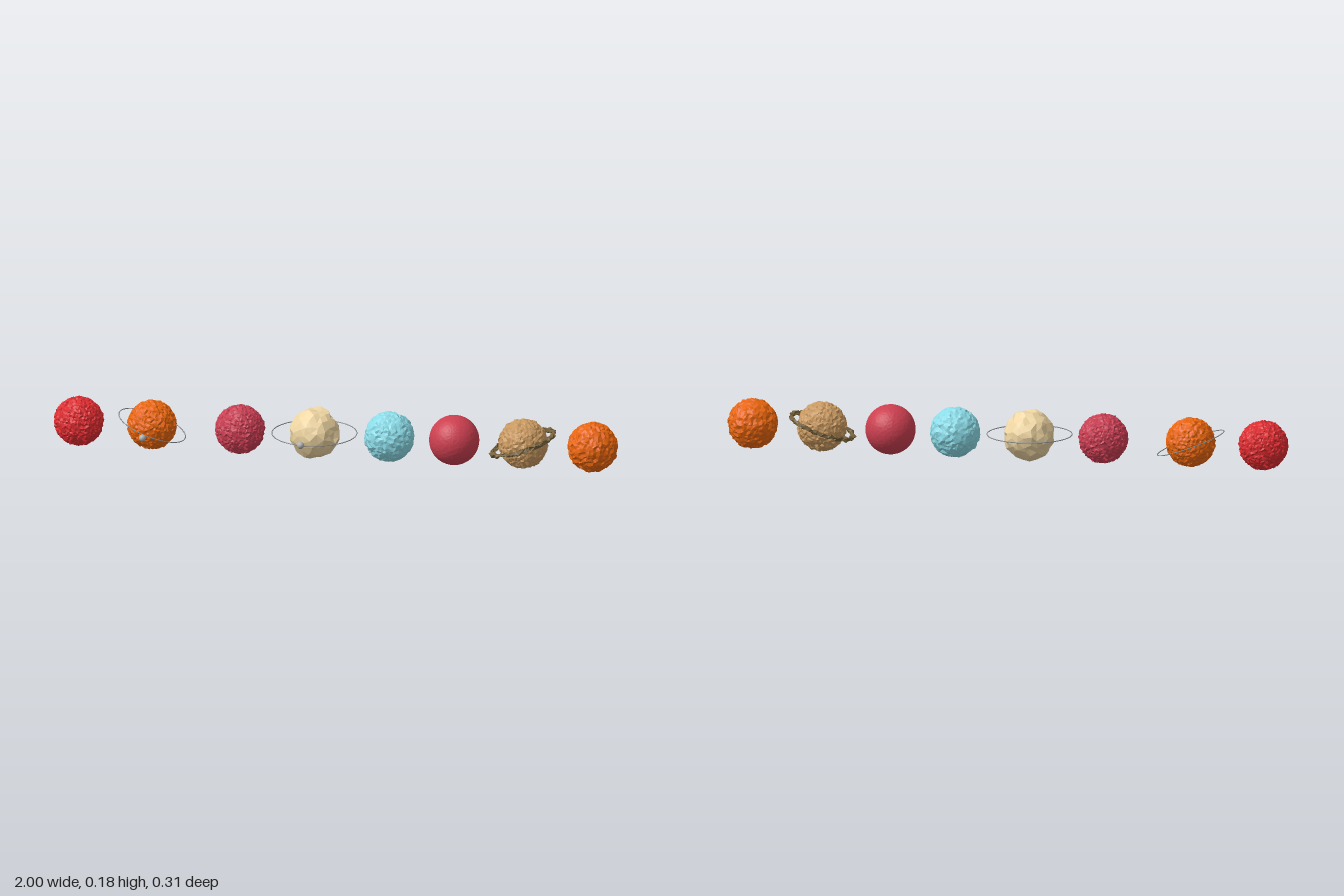
import * as THREE from 'three';

const CENTRE_Y = 0.094, CENTRE_Z = -0.012;

// Repeatable noise from a position, so shared corners move together.
function hash(x, y, z, k) {
  const q = (v) => Math.round(v * 1e4);
  const s = Math.sin(q(x) * 12.9898 + q(y) * 78.233 + q(z) * 37.719 + k * 4.581) * 43758.5453;
  return (s - Math.floor(s)) * 2 - 1;
}

// Shift every corner by a radial (out) and an all-round (slide) jitter.
function roughen(geometry, out, slide) {
  const g = geometry.index ? geometry.toNonIndexed() : geometry;
  const p = g.attributes.position, v = new THREE.Vector3();
  for (let i = 0; i < p.count; i++) {
    v.fromBufferAttribute(p, i);
    const { x, y, z } = v;
    v.multiplyScalar(1 + out * hash(x, y, z, 1));
    p.setXYZ(i,
      v.x + slide * hash(x, y, z, 2),
      v.y + slide * hash(x, y, z, 3),
      v.z + slide * hash(x, y, z, 4));
  }
  g.computeVertexNormals();
  return g;
}

function addMesh(group, name, geometry, color, flatShading = false) {
  const mesh = new THREE.Mesh(geometry,
    new THREE.MeshStandardMaterial({ color, flatShading, side: THREE.DoubleSide }));
  mesh.name = name;
  group.add(mesh);
  return mesh;
}

export function createModel() {
  const model = new THREE.Group();
  model.name = 'planetRow';

  // Planets: x, colour, detail, radius, radial jitter, sideways jitter
  const planets = [
    ['redPlanet', -0.912, 0xdd2b30, 13, 0.0855, 0.025, 0.0028],
    ['moonedOrangePlanet', -0.652, 0xe8650c, 11, 0.0855, 0.02, 0.003],
    ['roughCrimsonPlanet', -0.34, 0xc93d52, 13, 0.0855, 0.022, 0.0028],
    ['creamPlanet', -0.075, 0xeed5a2, 3, 0.0885, 0.006, 0.006],
    ['bluePlanet', 0.19, 0x8cdce8, 9, 0.087, 0.014, 0.003],
    ['smoothCrimsonPlanet', 0.42, 0xcc3f50, 16, 0.088, 0.002, 0.0003],
    ['ringedTanPlanet', 0.665, 0xc8985f, 11, 0.086, 0.02, 0.003],
    ['endOrangePlanet', 0.911, 0xe8650c, 9, 0.0865, 0.018, 0.0035],
  ];
  for (const [name, x, color, detail, r, out, slide] of planets) {
    const geo = roughen(new THREE.IcosahedronGeometry(r, detail), out, slide);
    addMesh(model, name, geo, color, true).position.set(x, CENTRE_Y, CENTRE_Z);
  }

  // Thin orbit wires, each with a small moon: centre, radius, tilt, moon position
  const orbits = [
    ['tiltedOrbit', [-0.652, 0.091, CENTRE_Z], 0.124, -0.35, [-0.665, 0.086, 0.119]],
    ['levelOrbit', [-0.075, 0.096, -0.004], 0.149, 0, [-0.1, 0.096, 0.143]],
  ];
  for (const [name, centre, radius, tilt, moonAt] of orbits) {
    const geo = new THREE.TorusGeometry(radius, 0.0017, 8, 96).rotateX(Math.PI / 2);
    const orbit = addMesh(model, name, geo, 0x888c90);
    orbit.position.set(...centre);
    orbit.rotation.z = tilt;
    addMesh(model, name + 'Moon', new THREE.SphereGeometry(0.0125, 20, 14), 0xb0b0b0)
      .position.set(...moonAt);
  }

  // Jagged rocky ring
  const ringGeo = roughen(new THREE.TorusGeometry(0.114, 0.007, 7, 72).rotateX(Math.PI / 2), 0.03, 0.0045);
  const ring = addMesh(model, 'rockyRing', ringGeo, 0x75603a, true);
  ring.position.set(0.664, 0.095, CENTRE_Z);
  ring.rotation.z = 0.33;

  return model;
}
